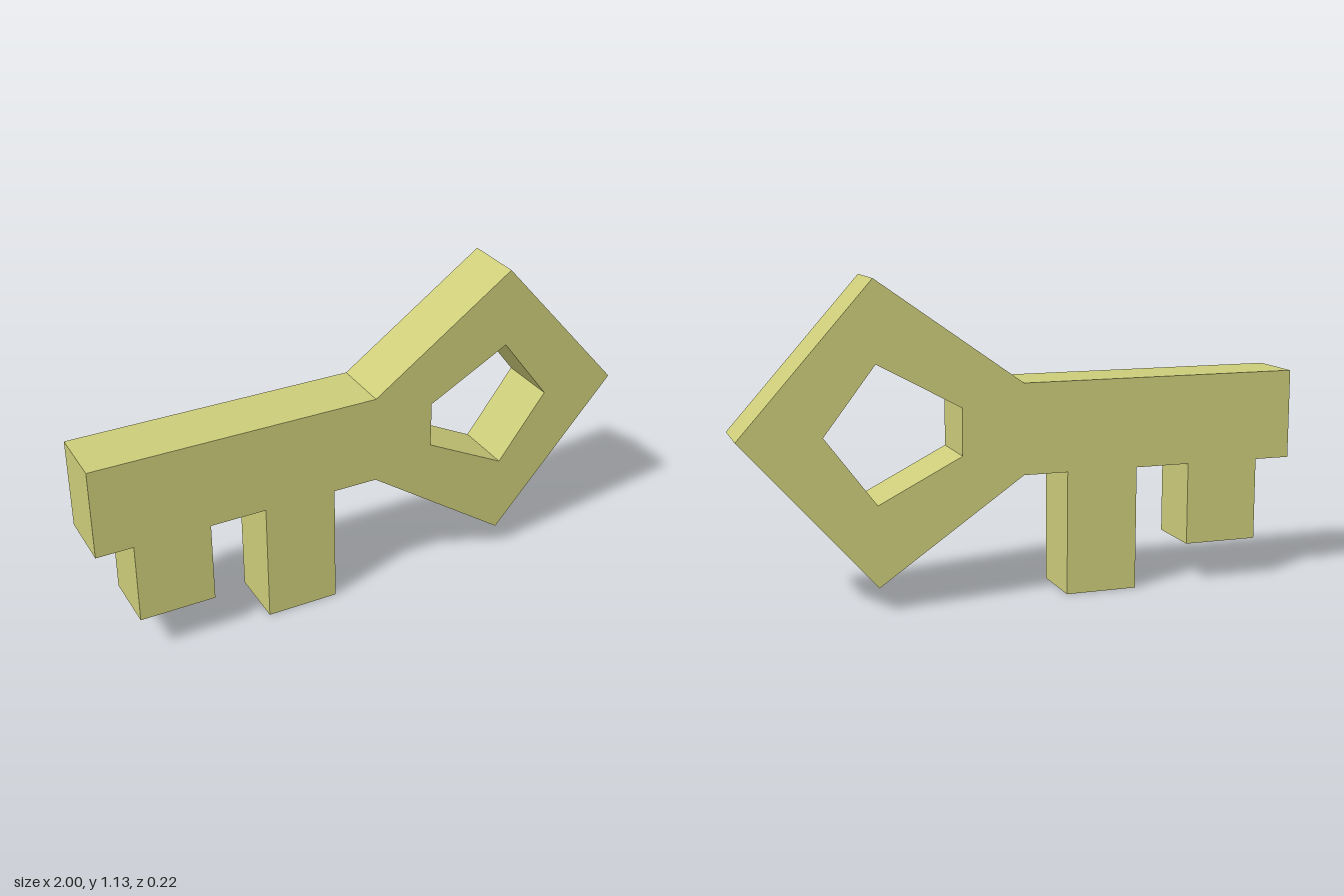
import * as THREE from 'three';

const DEPTH = 0.22;

// Outline corners, counter-clockwise from the top left of the shaft
const OUTLINE = [
  [-1, 0.76], [-1, 0.44],
  [-0.87, 0.44], [-0.87, 0.145], [-0.6, 0.145], [-0.6, 0.44], // short tooth
  [-0.4, 0.44], [-0.4, 0], [-0.14, 0], [-0.14, 0.44], // long tooth
  [0.02, 0.44], [0.535, 0.085], [1, 0.61], [0.54, 1.127], [0.02, 0.76], // bow
];

// Five-sided opening in the bow
const OPENING = [[0.24, 0.685], [0.535, 0.845], [0.715, 0.61], [0.535, 0.37], [0.24, 0.52]];

const toPoints = (pairs) => pairs.map(([x, y]) => new THREE.Vector2(x, y));

export function createModel() {
  const group = new THREE.Group();
  group.name = 'key';

  const shape = new THREE.Shape(toPoints(OUTLINE));
  shape.holes.push(new THREE.Path(toPoints(OPENING)));

  // One solid plate: shaft, teeth and pierced bow
  const geometry = new THREE.ExtrudeGeometry(shape, { depth: DEPTH, bevelEnabled: false });
  geometry.translate(0, 0, -DEPTH / 2);

  const material = new THREE.MeshStandardMaterial({ color: 0xcccc7a, flatShading: true });
  const body = new THREE.Mesh(geometry, material);
  body.name = 'keyBody';
  group.add(body);
  return group;
}
